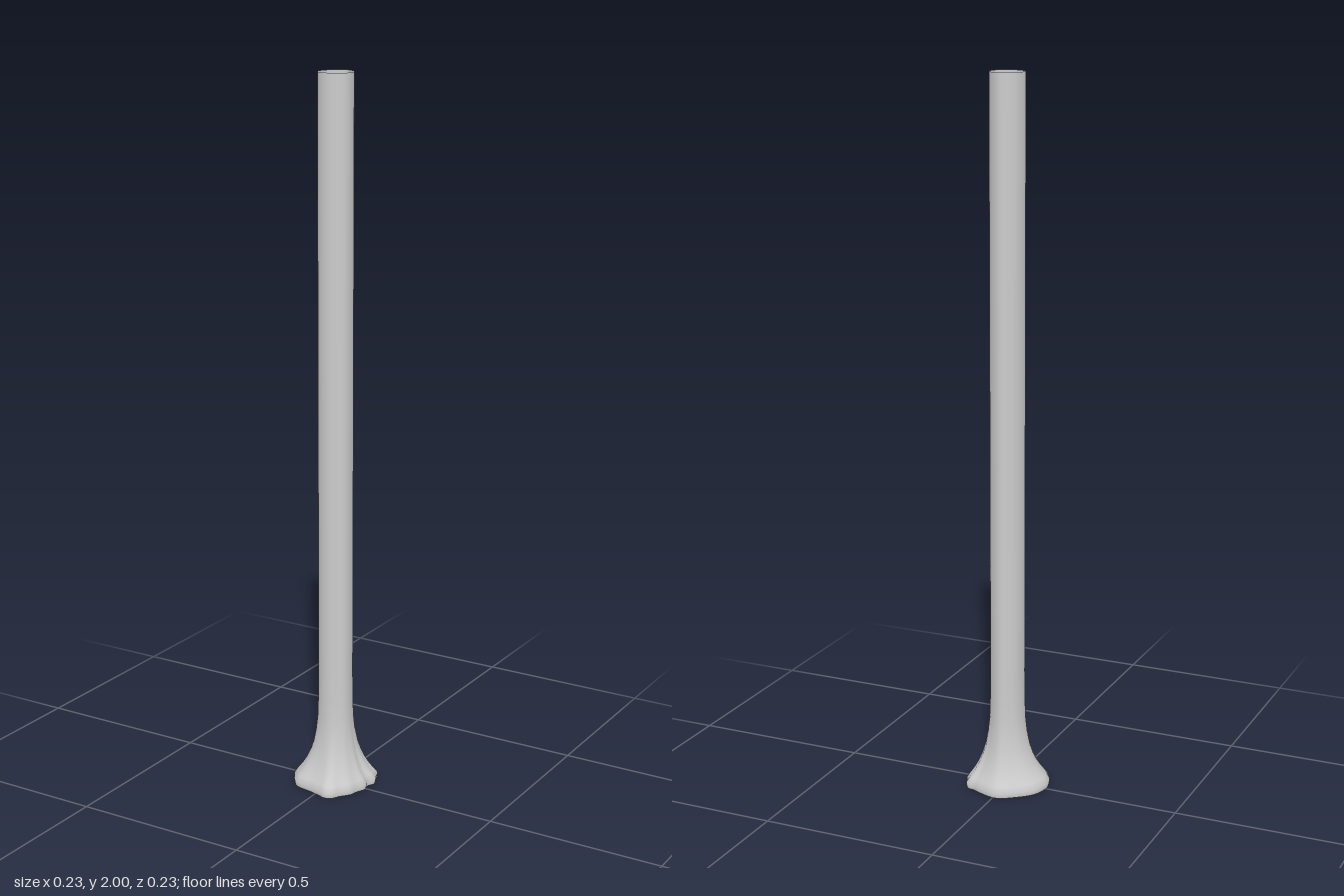
import * as THREE from 'three';

const SIDES = 96;

// Smooth closed outline in plan (x, z), running from the back through the left side
function outline(points) {
  const curve = new THREE.CatmullRomCurve3(points.map(([x, z]) => new THREE.Vector3(x, 0, z)), true);
  return curve.getSpacedPoints(SIDES).slice(0, SIDES);
}

function surface(positions, indices) {
  const g = new THREE.BufferGeometry();
  g.setAttribute('position', new THREE.Float32BufferAttribute(positions, 3));
  g.setIndex(indices);
  g.computeVertexNormals();
  return g;
}

export function createModel() {
  const group = new THREE.Group();
  group.name = 'treeTrunk';
  const material = new THREE.MeshStandardMaterial({ color: 0xcccccc, side: THREE.DoubleSide });

  // Ragged root outline and the rounder stem outline
  const root = outline([
    [-0.005, -0.118], [0.055, -0.1], [0.068, -0.093], [0.094, -0.087], [0.102, -0.066], [0.113, -0.04],
    [0.102, -0.018], [0.108, 0.005], [0.097, 0.032], [0.09, 0.058], [0.069, 0.085], [0.058, 0.105],
    [0.04, 0.115], [0.01, 0.107], [-0.016, 0.1], [-0.075, 0.086], [-0.099, 0.054], [-0.113, 0.027],
    [-0.116, 0], [-0.106, -0.04], [-0.088, -0.066], [-0.067, -0.084], [-0.035, -0.107],
  ]);
  const stem = outline([
    [0.004, -0.057], [0.033, -0.043], [0.052, -0.012], [0.05, 0.02], [0.032, 0.037],
    [0.004, 0.045], [-0.025, 0.035], [-0.043, 0.008], [-0.038, -0.025], [-0.022, -0.045],
  ]);

  // Height and amount of root flare for each ring
  const rings = [
    [0, 0.96], [0.015, 1], [0.03, 0.84], [0.045, 0.68], [0.065, 0.51], [0.09, 0.35], [0.12, 0.21],
    [0.16, 0.1], [0.2, 0.04], [0.26, 0.01], [0.34, 0], [1, 0], [2, 0],
  ];
  const positions = [], indices = [];
  rings.forEach(([y, flare], r) => {
    for (let i = 0; i < SIDES; i++) {
      const p = stem[i].clone().lerp(root[i], flare);
      positions.push(p.x, y, p.z);
      if (r === 0) continue;
      const j = (i + 1) % SIDES, lo = (r - 1) * SIDES, hi = r * SIDES;
      indices.push(lo + i, hi + i, lo + j, lo + j, hi + i, hi + j);
    }
  });
  const trunk = new THREE.Mesh(surface(positions, indices), material);
  trunk.name = 'trunk';

  // Flat underside; the top stays open
  const capPositions = [...positions.slice(0, SIDES * 3), 0, 0, 0], capIndices = [];
  for (let i = 0; i < SIDES; i++) capIndices.push(SIDES, i, (i + 1) % SIDES);
  const base = new THREE.Mesh(surface(capPositions, capIndices), material);
  base.name = 'base';

  group.add(trunk, base);
  return group;
}
